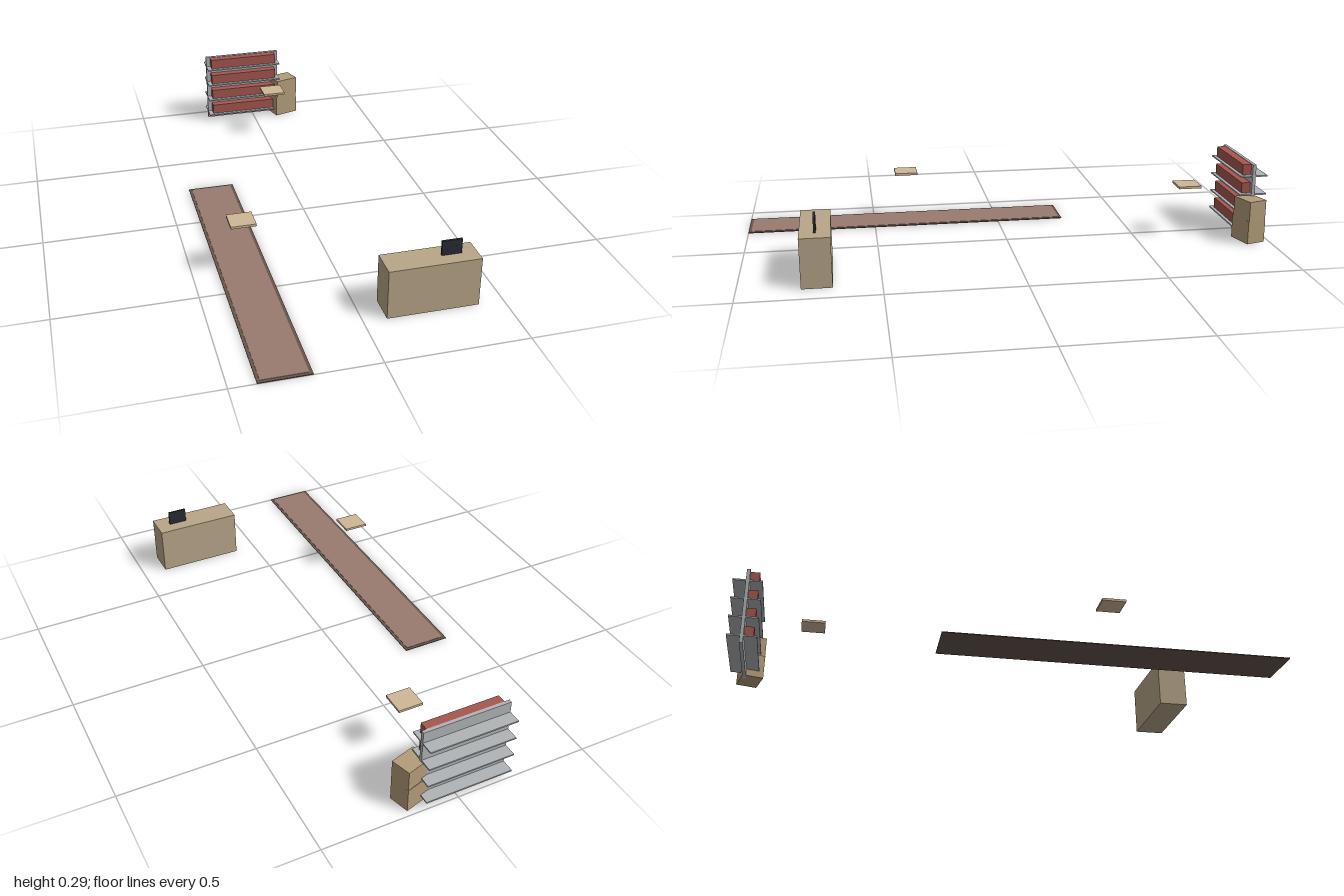
import * as THREE from 'three';

const mat = (name, color) => {
  const m = new THREE.MeshStandardMaterial({ color });
  m.name = name;
  return m;
};

export function createModel() {
  const root = new THREE.Group();
  root.name = 'shopInterior';

  const counterWood = mat('counter wood', 0xb8a688);
  const cardboard = mat('cardboard', 0xb39c7a);
  const panelTan = mat('pale panel', 0xcfb797);
  const metal = mat('shelf metal', 0xb0b4b6);
  const goods = mat('red goods', 0xa5574f);
  const rugField = mat('rug field', 0x997b70);
  const rugEdge = mat('rug border', 0x66554c);
  const dark = mat('dark screen', 0x2a2a35);

  // Box from its minimum and maximum corners
  const box = (name, material, min, max, parent = root) => {
    const s = max.map((v, i) => v - min[i]);
    const mesh = new THREE.Mesh(new THREE.BoxGeometry(...s), material);
    mesh.position.set(...min.map((v, i) => v + s[i] / 2));
    mesh.name = name;
    parent.add(mesh);
    return mesh;
  };

  // Long floor runner with a darker border
  const runner = new THREE.Group();
  runner.name = 'runner';
  root.add(runner);
  box('runnerBorder', rugEdge, [-0.409, 0, -0.265], [-0.23, 0.003, 1], runner);
  box('runnerField', rugField, [-0.398, 0.003, -0.254], [-0.241, 0.0045, 0.989], runner);

  // Sales counter with its upright screen
  box('counter', counterWood, [0.082, 0, 0.671], [0.409, 0.183, 0.78]);
  box('screen', dark, [0.283, 0.183, 0.721], [0.355, 0.238, 0.729]);

  // Two square ceiling panels
  [[-0.32, 0.367], [0.043, -0.705]].forEach(([x, z]) =>
    box('ceilingPanel', panelTan, [x - 0.0455, 0.199, z - 0.0445], [x + 0.0455, 0.208, z + 0.0445]));

  // Double-sided shelf unit: back panel, four boards, goods on the front side
  const shelf = new THREE.Group();
  shelf.name = 'shelfUnit';
  root.add(shelf);
  box('backPanel', metal, [-0.206, 0, -0.953], [0.122, 0.293, -0.94], shelf);
  for (let i = 0; i < 4; i++) {
    const y = 0.0255 + i * 0.0731;
    box('shelfBoard', metal, [-0.206, y, -1], [0.122, y + 0.0055, -0.893], shelf);
    box('goodsRow', goods, [-0.188, y + 0.0055, -0.94], [0.104, y + 0.0465, -0.906], shelf);
  }

  // Two stacked cartons, turned slightly beside the shelf
  [
    ['lowerCarton', 0.104, 0.077, 0, 0.091, 0.141, 0.28],
    ['upperCarton', 0.098, 0.075, 0.091, 0.168, 0.1445, 0.3],
  ].forEach(([name, w, d, y0, y1, x, turn]) => {
    const carton = box(name, cardboard, [x - w / 2, y0, -0.928 - d / 2], [x + w / 2, y1, -0.928 + d / 2]);
    carton.rotation.y = turn;
  });

  return root;
}
